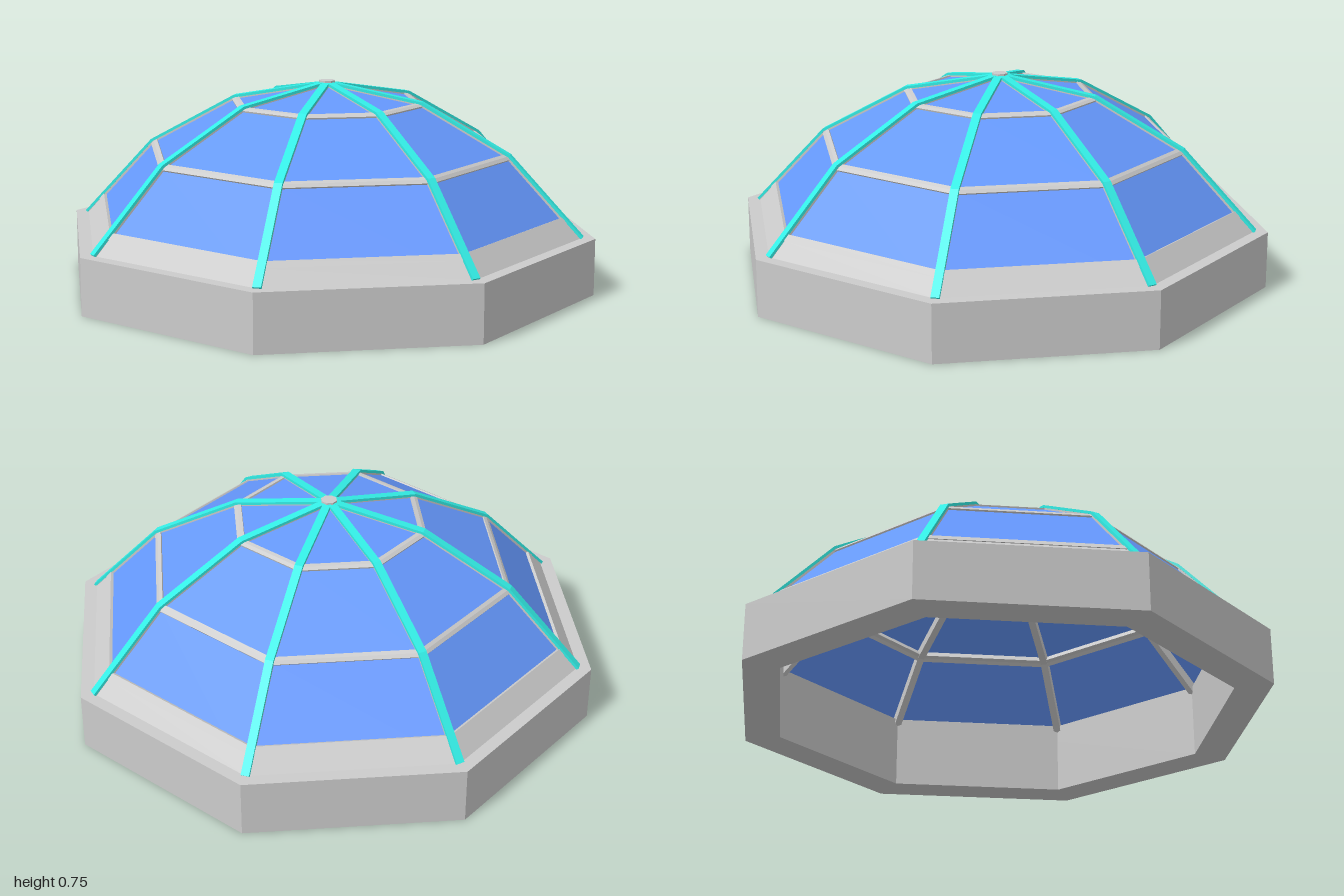
import * as THREE from 'three';

const SIDES = 8;
// Meridian of the dome at a corner: radius, height
const MERIDIAN = [[0.95, 0.21], [0.68, 0.5], [0.355, 0.68], [0, 0.745]]
  .map(([r, y]) => new THREE.Vector2(r, y));

const material = (color) => new THREE.MeshStandardMaterial({ color, flatShading: true });

// Outward normal of the meridian segment from a to b
const normalOf = (a, b) => new THREE.Vector2(b.y - a.y, a.x - b.x).normalize();

// Meridian moved outward by d, with mitred corners
function offsetMeridian(d) {
  const last = MERIDIAN.length - 1;
  return MERIDIAN.map((p, i) => {
    if (i === last) return new THREE.Vector2(0, p.y + d);
    const n = normalOf(p, MERIDIAN[i + 1]);
    if (i > 0) n.add(normalOf(MERIDIAN[i - 1], p)).normalize();
    return p.clone().addScaledVector(n, d);
  });
}

// Octagonal ring from a closed cross-section (counter-clockwise in r, y)
function ring(name, points, mat) {
  const profile = [...points, points[0]].map((p) => new THREE.Vector2(p.x ?? p[0], p.y ?? p[1]));
  const mesh = new THREE.Mesh(new THREE.LatheGeometry(profile, SIDES), mat);
  mesh.name = name;
  return mesh;
}

// Bent bar following the meridian, between two offsets
function ribGeometry(outer, inner, width) {
  const outline = [...offsetMeridian(outer), ...offsetMeridian(inner).reverse()];
  const geometry = new THREE.ExtrudeGeometry(new THREE.Shape(outline), {
    depth: width, bevelEnabled: false,
  });
  return geometry.translate(0, 0, -width / 2);
}

export function createModel() {
  const model = new THREE.Group();
  const grey = material(0xcccccc);
  const blue = material(0x6699ff);
  blue.side = THREE.DoubleSide;
  const cyan = material(0x33eee6);

  // Base curb and the sloped sill on it
  model.add(ring('baseCurb', [[0.86, 0], [1, 0], [1, 0.21], [0.86, 0.21]], grey));
  model.add(ring('sill', [[0.86, 0.2], [0.95, 0.2], [0.95, 0.21], [0.9, 0.265], [0.86, 0.265]], grey));
  model.add(ring('sillBar', [[0.86, 0.262], [0.905, 0.265], [0.886, 0.286], [0.86, 0.276]], grey));

  // Glass panes, slightly recessed behind the frame
  const glass = new THREE.Mesh(new THREE.LatheGeometry(offsetMeridian(-0.006), SIDES), blue);
  glass.name = 'glassPanes';
  model.add(glass);

  // Horizontal bars around the two bends
  const inside = offsetMeridian(-0.035);
  for (const i of [1, 2]) {
    const p = MERIDIAN[i];
    const along = (points, j) => points[i].clone().addScaledVector(
      MERIDIAN[j].clone().sub(p).normalize(), 0.015);
    model.add(ring(i === 1 ? 'lowerRingBar' : 'upperRingBar', [
      along(MERIDIAN, i - 1), p, along(MERIDIAN, i + 1),
      along(inside, i + 1), inside[i], along(inside, i - 1),
    ], grey));
  }

  // Ribs on every corner: grey bar inside, cyan cover strip outside
  const barGeometry = ribGeometry(0, -0.04, 0.028);
  const coverGeometry = ribGeometry(0.008, -0.002, 0.03);
  for (let i = 0; i < SIDES; i++) {
    const rib = new THREE.Group();
    rib.name = `rib${i + 1}`;
    const bar = new THREE.Mesh(barGeometry, grey);
    bar.name = 'ribBar';
    const cover = new THREE.Mesh(coverGeometry, cyan);
    cover.name = 'ribCover';
    rib.add(bar, cover);
    rib.rotation.y = (i * 2 * Math.PI) / SIDES;
    model.add(rib);
  }

  // Small cap where the ribs meet
  const cap = new THREE.Mesh(new THREE.CylinderGeometry(0.03, 0.03, 0.05, SIDES), grey);
  cap.name = 'apexCap';
  cap.position.y = 0.73;
  model.add(cap);

  return model;
}
